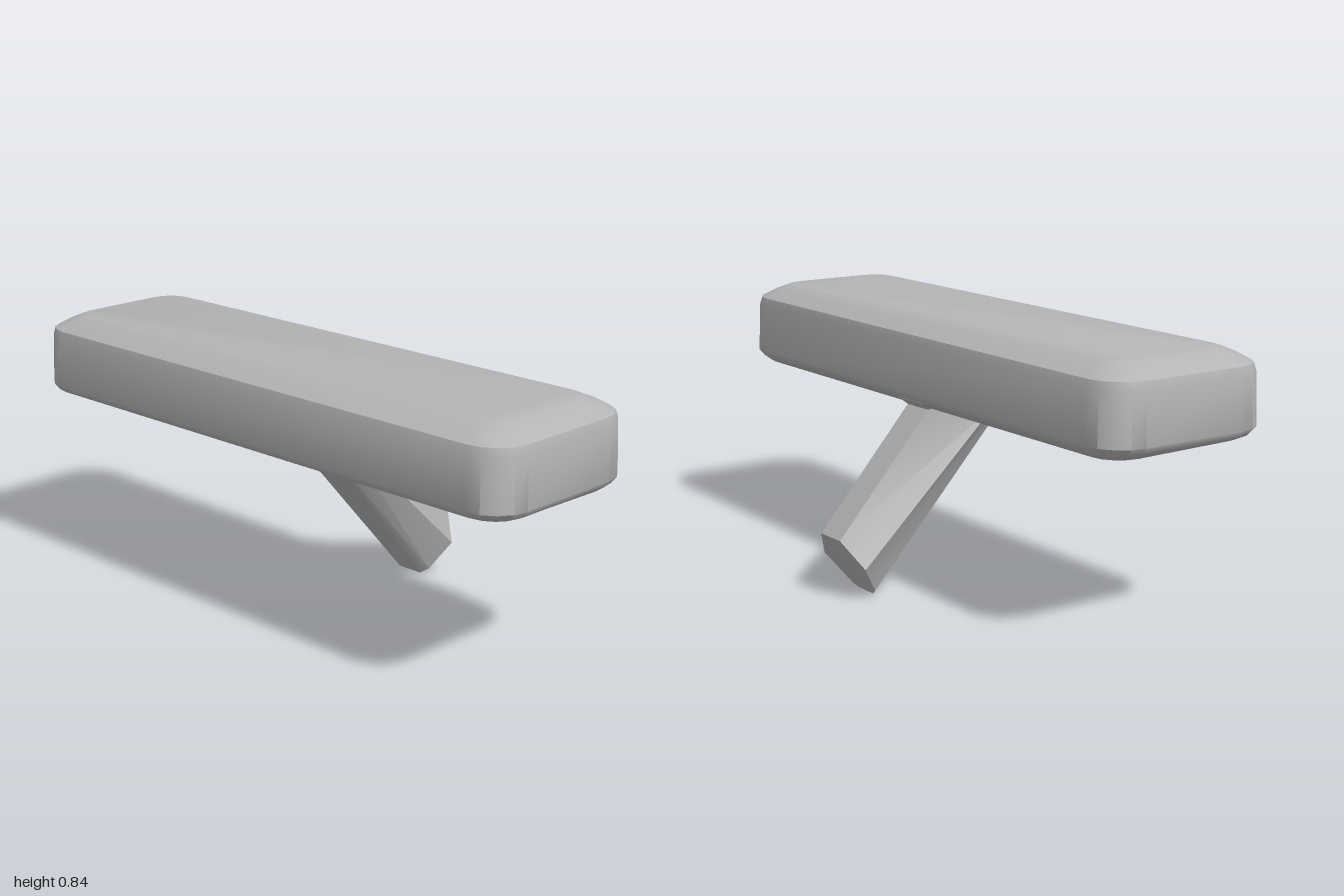
import * as THREE from 'three';
import { toCreasedNormals } from 'three/addons/utils/BufferGeometryUtils.js';

// Skin a closed solid over rings of points, listed bottom to top
function loft(rings, crease) {
  const n = rings[0].length;
  const pos = [];
  const tri = (a, b, c) => pos.push(...a, ...b, ...c);
  for (let j = 0; j < rings.length - 1; j++) {
    for (let i = 0; i < n; i++) {
      const k = (i + 1) % n;
      const lo = rings[j], hi = rings[j + 1];
      tri(lo[i], hi[i], lo[k]);
      tri(hi[i], hi[k], lo[k]);
    }
  }
  const first = rings[0], last = rings[rings.length - 1];
  for (let i = 1; i < n - 1; i++) {
    tri(first[0], first[i], first[i + 1]);
    tri(last[0], last[i + 1], last[i]);
  }
  const geo = new THREE.BufferGeometry();
  geo.setAttribute('position', new THREE.Float32BufferAttribute(pos, 3));
  return toCreasedNormals(geo, crease);
}

// Rounded rectangle ring of the head at one height
function headRing([y, inset, radius, tilt = 0]) {
  const cx = -0.14, hx = 0.3 - inset, hz = 1 - inset, steps = 4;
  const ring = [];
  [[1, 1], [-1, 1], [-1, -1], [1, -1]].forEach(([sx, sz], q) => {
    for (let s = 0; s <= steps; s++) {
      const a = (q + s / steps) * Math.PI / 2;
      const x = sx * (hx - radius) + radius * Math.cos(a);
      const z = sz * (hz - radius) + radius * Math.sin(a);
      ring.push([cx + x, y - tilt * x, z]);
    }
  });
  return ring;
}

// Mirrored handle ring from [x, y, half depth] points, upper side first
function handleRing(half) {
  const front = half.map(([x, y, z]) => [x, y, z]);
  const back = half.map(([x, y, z]) => [x, y, -z]).reverse();
  return [...front, ...back];
}

export function createModel() {
  const group = new THREE.Group();
  const grey = new THREE.MeshStandardMaterial({ color: 0xb4b4b4 });
  grey.name = 'plain grey';

  // Long block with softened edges: height, inset, corner radius, tilt
  const headRings = [
    [0.58, 0.04, 0.09, 0.015],
    [0.595, 0.015, 0.11],
    [0.615, 0, 0.12],
    [0.775, 0.004, 0.12],
    [0.8, 0.011, 0.115],
    [0.825, 0.05, 0.1],
    [0.841, 0.085, 0.08],
    [0.845, 0.1, 0.07],
  ].map(headRing);
  const head = new THREE.Mesh(loft(headRings, 0.7), grey);
  head.name = 'head';

  // Slanted faceted handle, flaring where it meets the head
  const handleRings = [
    [[0.435, 0.195, 0.055], [0.385, 0.11, 0.12], [0.322, 0.022, 0.075], [0.311, 0.003, 0.045]],
    [[0.11, 0.565, 0.055], [-0.1, 0.565, 0.12], [-0.18, 0.573, 0.08], [-0.2, 0.576, 0.045]],
    [[0.14, 0.59, 0.07], [-0.12, 0.59, 0.13], [-0.2, 0.59, 0.085], [-0.22, 0.595, 0.05]],
  ].map(handleRing);
  const handle = new THREE.Mesh(loft(handleRings, 0.5), grey);
  handle.name = 'handle';

  group.add(head, handle);
  return group;
}
